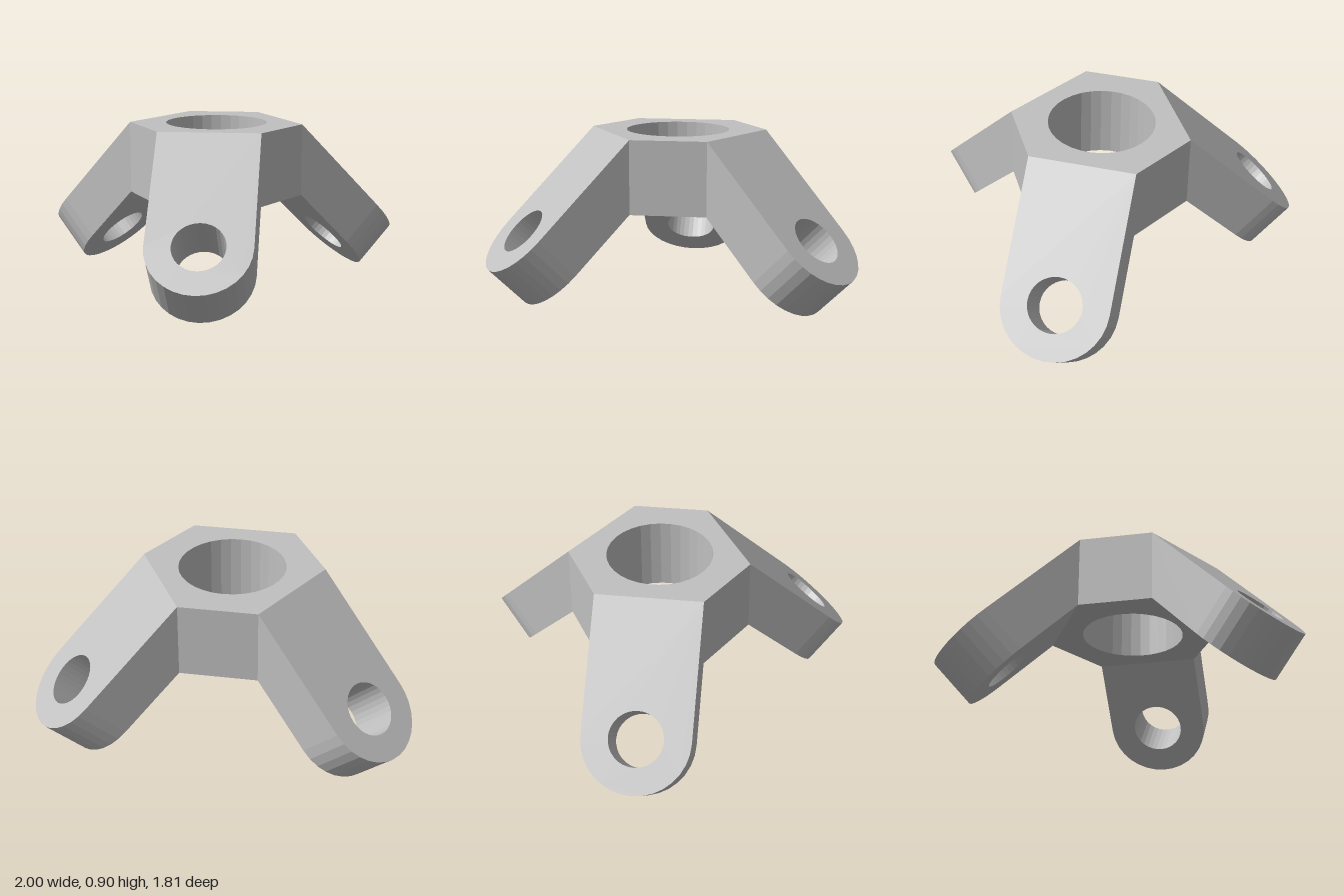
import * as THREE from 'three';

const TOP = 0.9, HEIGHT = 0.4, HALF_WIDTH = 0.28, APOTHEM = 0.397, CENTRE_Z = -0.195;
const THICK = HEIGHT * Math.SQRT1_2;   // arm slab thickness at 45 degrees
const REACH = 0.71;                    // hinge to bolt hole along the slope

function addHole(shape, x, y, r) {
  const hole = new THREE.Path();
  hole.absarc(x, y, r, 0, Math.PI * 2, true);
  shape.holes.push(hole);
}

const extrude = (shape, depth) =>
  new THREE.ExtrudeGeometry(shape, { depth, bevelEnabled: false, curveSegments: 16 });

// Six-sided ring with three wide sides, each carrying an arm
function hubGeometry() {
  const points = [];
  for (let i = 0; i < 3; i++) {
    for (const x of [HALF_WIDTH, -HALF_WIDTH]) {
      points.push(new THREE.Vector2(x, APOTHEM)
        .rotateAround(new THREE.Vector2(), i * Math.PI * 2 / 3));
    }
  }
  const shape = new THREE.Shape(points);
  addHole(shape, 0, 0, 0.283);
  return extrude(shape, HEIGHT).rotateX(Math.PI / 2);
}

// Sloping slab with a round end and a bolt hole, cut upright at the hub
function armGeometry() {
  const shape = new THREE.Shape();
  shape.moveTo(-HALF_WIDTH, 0);
  shape.lineTo(HALF_WIDTH, 0);
  for (let i = 0; i <= 16; i++) {
    const a = i * Math.PI / 16;
    shape.lineTo(HALF_WIDTH * Math.cos(a), REACH + HALF_WIDTH * Math.sin(a));
  }
  addHole(shape, 0, REACH, 0.141);
  const geometry = extrude(shape, THICK);
  const p = geometry.attributes.position;
  for (let i = 0; i < p.count; i++) {
    if (p.getY(i) < 0.01) p.setY(i, p.getZ(i));   // mitre the root
  }
  geometry.computeVertexNormals();
  return geometry.rotateX(Math.PI * 0.75).translate(0, 0, APOTHEM);
}

export function createModel() {
  const grey = new THREE.MeshStandardMaterial({ color: 0xc0c0c0 });
  grey.name = 'light grey';
  const model = new THREE.Group();
  model.name = 'threeArmBracket';

  const hub = new THREE.Mesh(hubGeometry(), grey);
  hub.name = 'hub';
  hub.position.set(0, TOP, CENTRE_Z);
  model.add(hub);

  const arm = armGeometry();
  ['frontArm', 'backLeftArm', 'backRightArm'].forEach((name, i) => {
    const mesh = new THREE.Mesh(arm, grey);
    mesh.name = name;
    mesh.position.copy(hub.position);
    mesh.rotation.y = i * Math.PI * 2 / 3;
    model.add(mesh);
  });
  return model;
}
